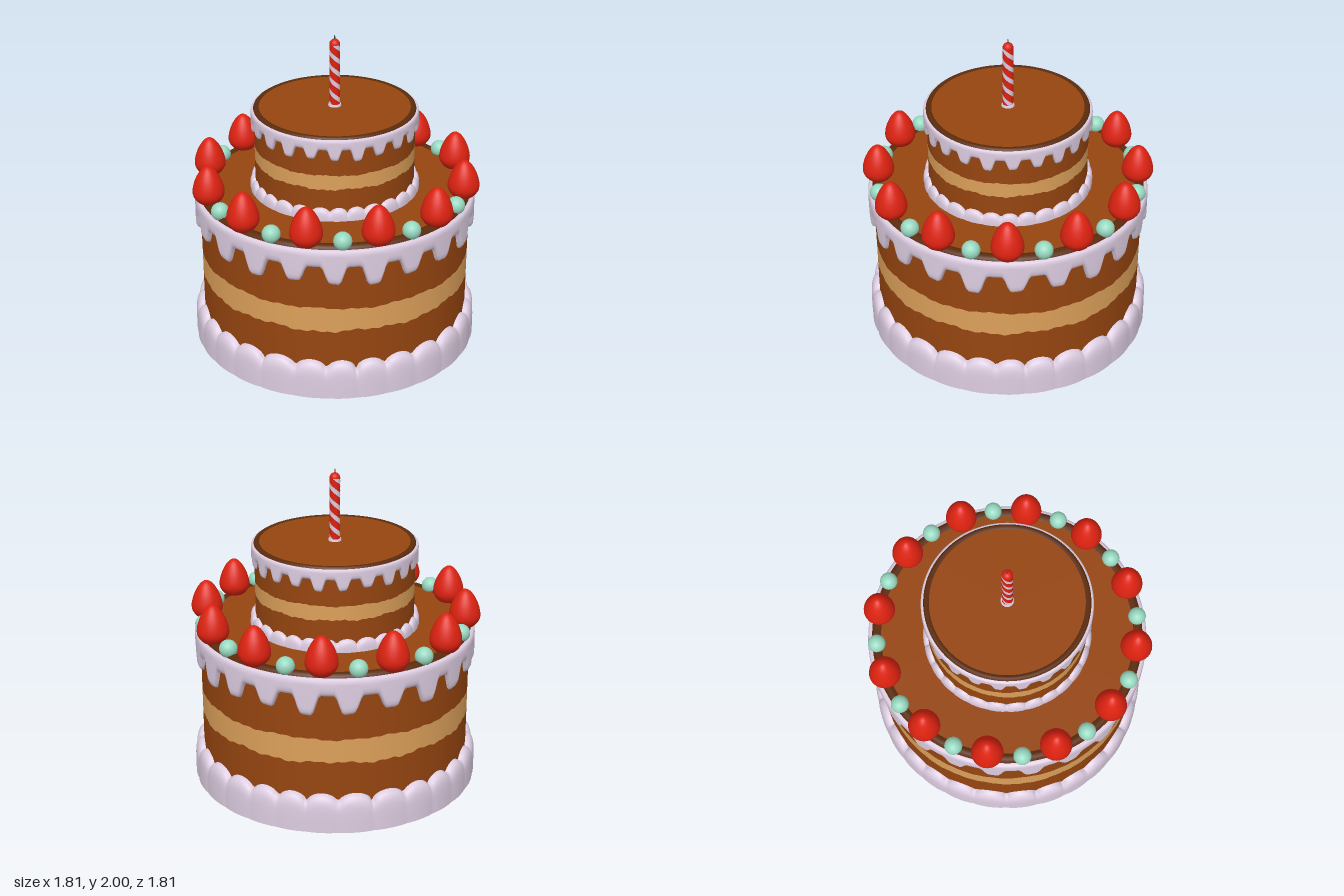
import * as THREE from 'three';

const TAU = Math.PI * 2;
const paint = (name, color, side = THREE.FrontSide) => {
  const m = new THREE.MeshStandardMaterial({ color, side });
  m.name = name;
  return m;
};

// Surface from fn(u, v) -> [angle, radius, y]; u runs round, v runs upward
function surface(cols, vs, fn, closed) {
  const pos = [], idx = [], n = closed ? cols : cols + 1;
  for (const v of vs) {
    for (let i = 0; i < n; i++) {
      const [a, r, y] = fn(i / cols, v);
      pos.push(r * Math.sin(a), y, r * Math.cos(a));
    }
  }
  for (let j = 0; j < vs.length - 1; j++) {
    for (let i = 0; i < cols; i++) {
      const k = (i + 1) % n, a = j * n + i, b = j * n + k;
      idx.push(a, b, a + n, b, b + n, a + n);
    }
  }
  const g = new THREE.BufferGeometry();
  g.setAttribute('position', new THREE.Float32BufferAttribute(pos, 3));
  g.setIndex(idx);
  g.computeVertexNormals();
  return g;
}

const steps = n => Array.from({ length: n + 1 }, (_, i) => i / n);
const mix = THREE.MathUtils.lerp;
const smooth = THREE.MathUtils.smoothstep;

// Edge heights round a tier
const scallopTop = a => 0.18 + 0.06 * Math.sqrt(Math.abs(Math.sin(14 * a + 0.25 * Math.sin(5 * a))));
const dripEdge = a => {
  const s = 0.5 + 0.5 * Math.cos(22 * (a - 0.125) + 0.3 * Math.sin(3 * a));
  const len = 0.115 + 0.015 * Math.sin(7 * a + 1);
  return 0.885 - len * smooth(s, 0.22, 0.9);
};
const ragged = (a, p) => 0.006 * Math.sin(9 * a + p) + 0.005 * Math.sin(23 * a + 2 * p) + 0.004 * Math.sin(61 * a + p);
const creamLow = a => 0.445 + ragged(a, 1);
const creamHigh = a => 0.6 + ragged(a, 4) * 0.7;

export function createModel() {
  const cake = new THREE.Group();
  cake.name = 'cake';
  const sponge = paint('sponge brown', 0x964510, THREE.DoubleSide);
  const filling = paint('filling tan', 0xdca05a, THREE.DoubleSide);
  const icing = paint('lilac icing', 0xdccce0, THREE.DoubleSide);
  const chocolate = paint('dark chocolate', 0x5a2b0c, THREE.DoubleSide);
  const red = paint('strawberry red', 0xdc2210);
  const mint = paint('mint', 0x98d8c0);
  const wickGrey = paint('wick grey', 0x4a4a4a);

  const add = (parent, name, geo, mat) => {
    const m = new THREE.Mesh(geo, mat);
    m.name = name;
    parent.add(m);
    return m;
  };

  // One hollow tier: stacked bands share their wavy edges
  function makeTier(name) {
    const tier = new THREE.Group();
    tier.name = name;
    const band = (part, lo, hi, mat) => add(tier, part,
      surface(352, steps(2), (u, v) => [u * TAU, 0.85, mix(lo(u * TAU), hi(u * TAU), v)], true), mat);
    band('lowerSponge', scallopTop, creamLow, sponge);
    band('fillingLayer', creamLow, creamHigh, filling);
    band('upperSponge', creamHigh, dripEdge, sponge);

    // Scalloped border, curling in to the wall at its top
    add(tier, 'scallopedBorder', surface(352, [0, 0.3, 0.55, 0.7, 0.8, 0.88, 0.94, 0.98, 1], (u, v) => {
      const a = u * TAU, h = scallopTop(a);
      const lobe = mix(0.052, 0.058, (h - 0.18) / 0.06);
      return [a, 0.85 + lobe * Math.sqrt(1 - Math.pow(v, 6)), v * h];
    }, true), icing);

    // Dripping icing with a rounded lower lip and a rolled top edge
    const lip = [[0, 0], [0.004, 0.013], [0.012, 0.024], [0.03, 0.032], [0.055, 0.034]];
    const roll = [[0.965, 0.033], [0.985, 0.03], [0.997, 0.022], [1.0, 0.005]];
    add(tier, 'drippingIcing', surface(352, steps(8).map((_, i) => i), (u, i) => {
      const a = u * TAU;
      const [y, r] = i < 5 ? [dripEdge(a) + lip[i][0], lip[i][1]] : roll[i - 5];
      return [a, 0.85 + r, y];
    }, true), icing);

    // Chocolate rim and top
    const rim = [[0.856, 0.996], [0.85, 1.012], [0.835, 1.022], [0.815, 1.022], [0.795, 1.014]];
    add(tier, 'chocolateRim', new THREE.LatheGeometry(rim.map(p => new THREE.Vector2(...p)), 96), chocolate);
    const top = add(tier, 'spongeTop', new THREE.CircleGeometry(0.797, 96).rotateX(-Math.PI / 2), sponge);
    top.position.y = 1.015;
    cake.add(tier);
    return tier;
  }

  makeTier('lowerTier');
  const upper = makeTier('upperTier');
  upper.scale.setScalar(0.587);
  upper.position.y = 0.95;

  // Ring of strawberries and mint balls
  const berry = new THREE.SplineCurve([[0, 0], [0.055, 0.008], [0.092, 0.05], [0.098, 0.095], [0.08, 0.16],
    [0.05, 0.215], [0.022, 0.243], [0, 0.25]].map(p => new THREE.Vector2(...p))).getPoints(24);
  berry.forEach(p => { p.x = Math.max(p.x, 0); });
  const berryGeo = new THREE.LatheGeometry(berry, 28);
  const ballGeo = new THREE.SphereGeometry(0.056, 24, 16);
  for (let i = 0; i < 12; i++) {
    const a = THREE.MathUtils.degToRad(9.5 + 30 * i), b = a + TAU / 24;
    add(cake, 'strawberry', berryGeo, red).position.set(0.815 * Math.sin(a), 1.0, 0.815 * Math.cos(a));
    add(cake, 'mintBall', ballGeo, mint).position.set(0.825 * Math.sin(b), 1.043, 0.825 * Math.cos(b));
  }

  // Candle with twisted stripes
  const candle = new THREE.Group();
  candle.name = 'candle';
  candle.position.y = 1.545;
  cake.add(candle);
  for (let s = 0; s < 4; s++) {
    const white = s % 2, width = white ? 0.2 : 0.3;
    const start = Math.floor(s / 2) * 0.5 + (white ? 0.3 : 0);
    add(candle, white ? 'whiteStripe' : 'redStripe', surface(8, steps(48), (u, v) =>
      [(start + u * width - v * 2.4) * TAU, 0.033, v * 0.4], false), white ? icing : red);
  }
  add(candle, 'candleTip', new THREE.SphereGeometry(0.033, 24, 8, 0, TAU, 0, Math.PI / 2), red).position.y = 0.4;
  add(candle, 'candleFoot', new THREE.CylinderGeometry(0.038, 0.042, 0.016, 24), icing).position.y = 0.006;
  add(candle, 'wick', new THREE.CylinderGeometry(0.003, 0.004, 0.04, 8), wickGrey).position.y = 0.435;

  return cake;
}
